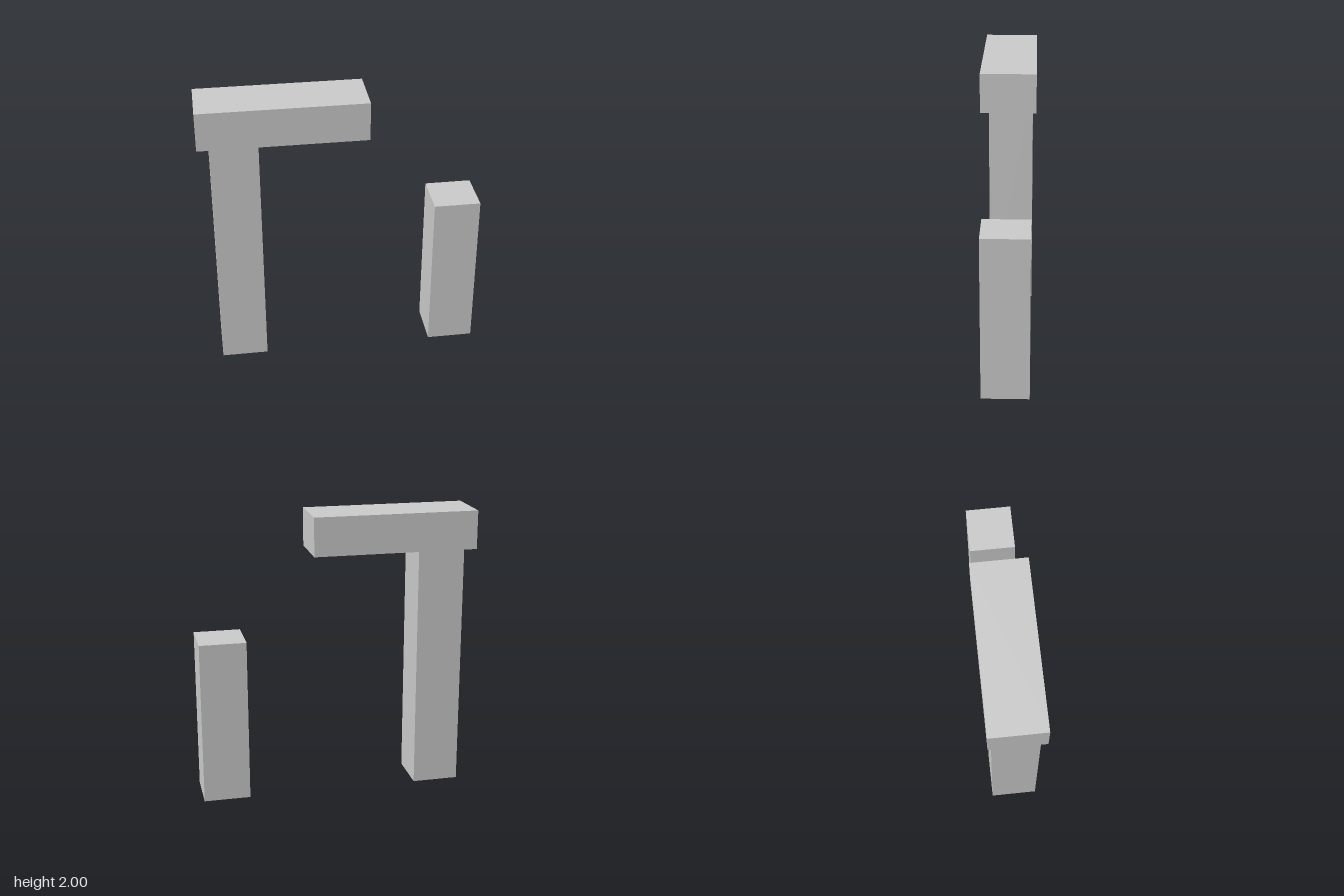
import * as THREE from 'three';

export function createModel() {
  const model = new THREE.Group();
  model.name = 'ruinedStoneGateway';
  const stone = new THREE.MeshStandardMaterial({ color: 0xcccccc, flatShading: true });

  // Rectangular stone block, placed by its centre x and its bottom y
  function addBlock(name, width, height, depth, x, bottom) {
    const block = new THREE.Mesh(new THREE.BoxGeometry(width, height, depth), stone);
    block.name = name;
    block.position.set(x, bottom + height / 2, 0);
    model.add(block);
  }

  const postWidth = 0.326;
  const lintelBottom = 1.73;

  // Full-height post, broken post and the lintel resting on the tall one
  addBlock('tallPost', postWidth, lintelBottom, postWidth, -0.728, 0);
  addBlock('brokenPost', postWidth, 1.153, postWidth, 0.809, 0);
  addBlock('lintel', 1.15, 2 - lintelBottom, 0.38, -0.398, lintelBottom);

  return model;
}
